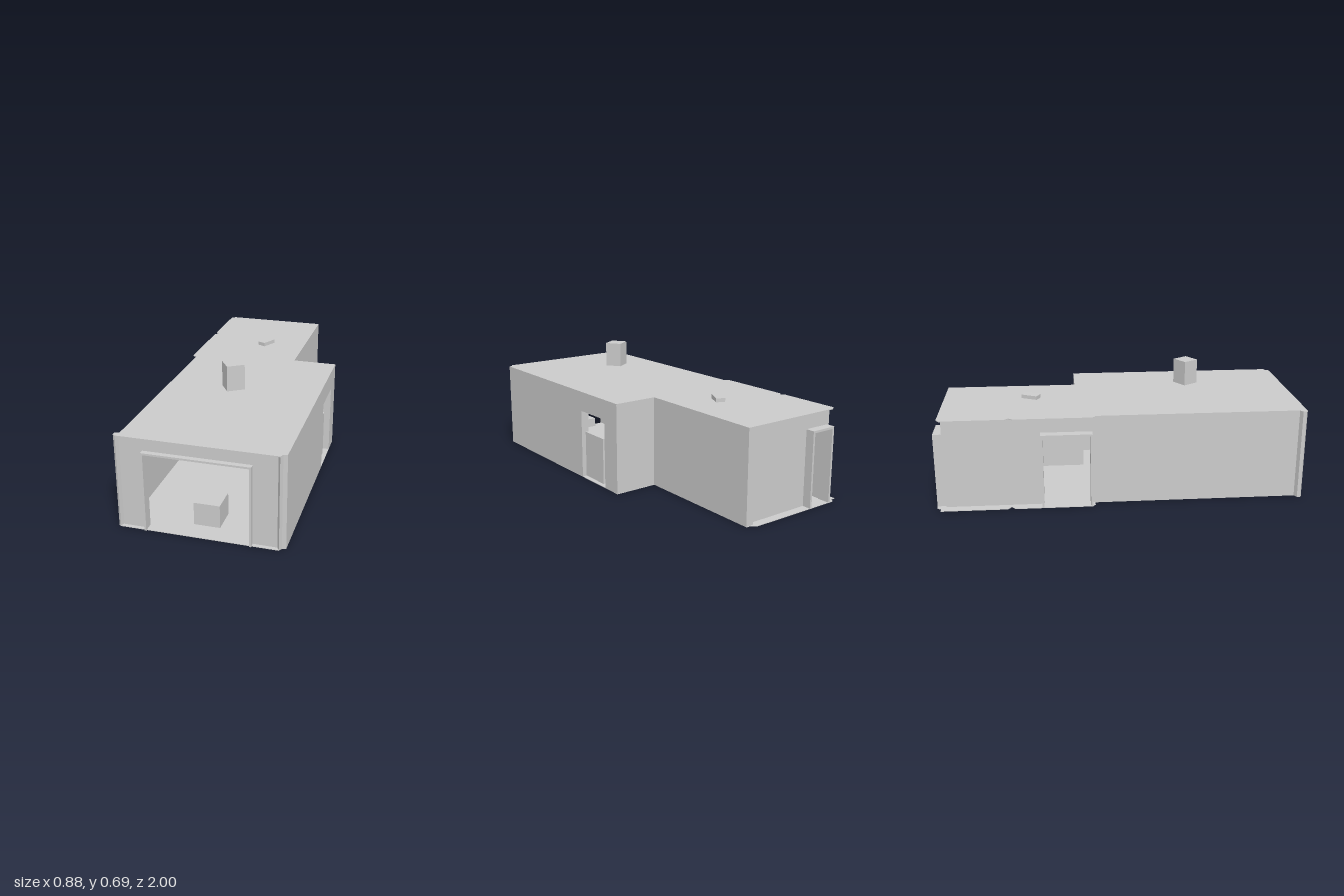
import * as THREE from 'three';

const H = 0.494; // wall height

export function createModel() {
  const model = new THREE.Group();
  const mat = new THREE.MeshStandardMaterial({ color: 0xcccccc, flatShading: true, side: THREE.DoubleSide });

  const add = (name, geometry, x = 0, y = 0, z = 0, ry = 0) => {
    const mesh = new THREE.Mesh(geometry, mat);
    mesh.name = name;
    mesh.position.set(x, y, z);
    mesh.rotation.y = ry;
    model.add(mesh);
    return mesh;
  };
  // box given by its limits
  const box = (name, x0, x1, y0, y1, z0, z1) =>
    add(name, new THREE.BoxGeometry(x1 - x0, y1 - y0, z1 - z0), (x0 + x1) / 2, (y0 + y1) / 2, (z0 + z1) / 2);
  const extrude = (points, depth) =>
    new THREE.ExtrudeGeometry(new THREE.Shape(points.map(p => new THREE.Vector2(...p))), { depth, bevelEnabled: false });
  // plan outline in (x, z), extruded down from height top
  const plan = (name, points, top, depth) => add(name, extrude(points, depth).rotateX(Math.PI / 2), 0, top, 0);

  // upright wall from a to b with one optional doorway [start, end, height]
  const wallGeometry = (a, b, thickness, door) => {
    const gap = door ? [[door[0], 0], [door[0], door[2]], [door[1], door[2]], [door[1], 0]] : [];
    return extrude([[a, 0], ...gap, [b, 0], [b, H], [a, H]], thickness);
  };
  const wallAlongX = (name, a, b, z, t, door) => add(name, wallGeometry(a, b, t, door), 0, 0, z);
  // outer or inner face with the larger x lies at x
  const wallAlongZ = (name, a, b, x, t, door) => add(name, wallGeometry(a, b, t, door).rotateY(-Math.PI / 2), x, 0, 0);

  // door surround: two jambs and a head in one outline
  const frameGeometry = (a, b, h, w, depth) =>
    extrude([[a - w, 0], [a, 0], [a, h], [b, h], [b, 0], [b + w, 0], [b + w, h + w], [a - w, h + w]], depth);

  // floor, with a lip beyond the walls
  plan('floor', [
    [-0.39, 0.95], [-0.413, 0.962], [-0.413, 0.98], [-0.4, 0.99], [0.405, 0.99], [0.415, 0.97], [0.435, 0.965],
    [0.435, -0.237], [0.19, -0.237], [0.19, -0.975], [0.165, -0.975], [0.145, -0.997], [-0.4, -0.997],
    [-0.415, -0.975], [-0.44, -0.975], [-0.44, -0.62], [-0.415, -0.6], [-0.44, -0.58], [-0.44, -0.165],
    [-0.42, -0.15], [-0.39, -0.15],
  ], 0.003, 0.003);
  // roof
  plan('roof', [
    [-0.39, 0.95], [-0.413, 0.962], [-0.413, 0.98], [-0.4, 0.99], [0.405, 0.99], [0.415, 0.97], [0.435, 0.965],
    [0.435, -0.237], [0.19, -0.237], [0.19, -0.972], [-0.39, -0.972], [-0.414, -0.955], [-0.414, -0.62],
    [-0.395, -0.6], [-0.414, -0.58], [-0.414, -0.165], [-0.405, -0.15], [-0.39, -0.15],
  ], 0.497, 0.004);

  // walls
  wallAlongX('frontWall', -0.39, 0.405, 0.945, 0.025, [-0.262, 0.262, 0.415]);
  wallAlongX('backWall', -0.39, 0.165, -0.95, 0.02, [-0.365, -0.238, 0.4]);
  wallAlongX('stepWall', 0.145, 0.434, -0.236, 0.045);
  wallAlongZ('leftFrontWall', -0.236, 0.965, 0.435, 0.045, [-0.12, 0.11, 0.387]);
  wallAlongZ('leftBackWall', -0.972, -0.2, 0.19, 0.045);
  wallAlongZ('rightWall', -0.95, 0.965, -0.37, 0.02, [-0.425, -0.175, 0.4]);

  // chamfered corner posts
  [
    [[-0.39, 0.95], [-0.412, 0.962], [-0.412, 0.98], [-0.4, 0.988], [-0.39, 0.966]],
    [[0.435, 0.95], [0.435, 0.965], [0.415, 0.97], [0.405, 0.988], [0.39, 0.966], [0.39, 0.95]],
    [[0.19, -0.94], [0.19, -0.972], [0.165, -0.972], [0.145, -0.948]],
  ].forEach(p => plan('cornerPost', p, H, H));

  // door surrounds
  add('frontDoorFrame', frameGeometry(-0.262, 0.262, 0.415, 0.01, 0.055), 0, 0, 0.942);
  add('backDoorFrame', frameGeometry(-0.365, -0.238, 0.4, 0.012, 0.07), 0, 0, -0.998);
  add('sideDoorFrame', frameGeometry(-0.425, -0.175, 0.4, 0.012, 0.07).rotateY(-Math.PI / 2), -0.368, 0, 0);

  // furniture
  box('crate', -0.055, 0.08, 0, 0.125, 0.74, 0.88);
  box('cabinet', 0.2, 0.41, 0, 0.233, -0.065, 0.18);
  box('cabinetTop', 0.3, 0.41, 0.233, 0.262, -0.065, 0.18);
  add('roundCounter', new THREE.CylinderGeometry(0.116, 0.116, 0.15, 24), -0.06, 0.075, -0.65);
  box('counterArm', 0.03, 0.145, 0, 0.154, -0.72, -0.6);

  // block through the roof and block floating above it
  const hanging = add('hangingBlock', new THREE.BoxGeometry(0.05, 0.152, 0.095), -0.044, 0.442, -0.487, -0.47);
  hanging.rotation.z = 0.02;
  add('floatingBlock', new THREE.BoxGeometry(0.095, 0.136, 0.092), 0.006, 0.62, 0.39, 0.58);

  return model;
}
